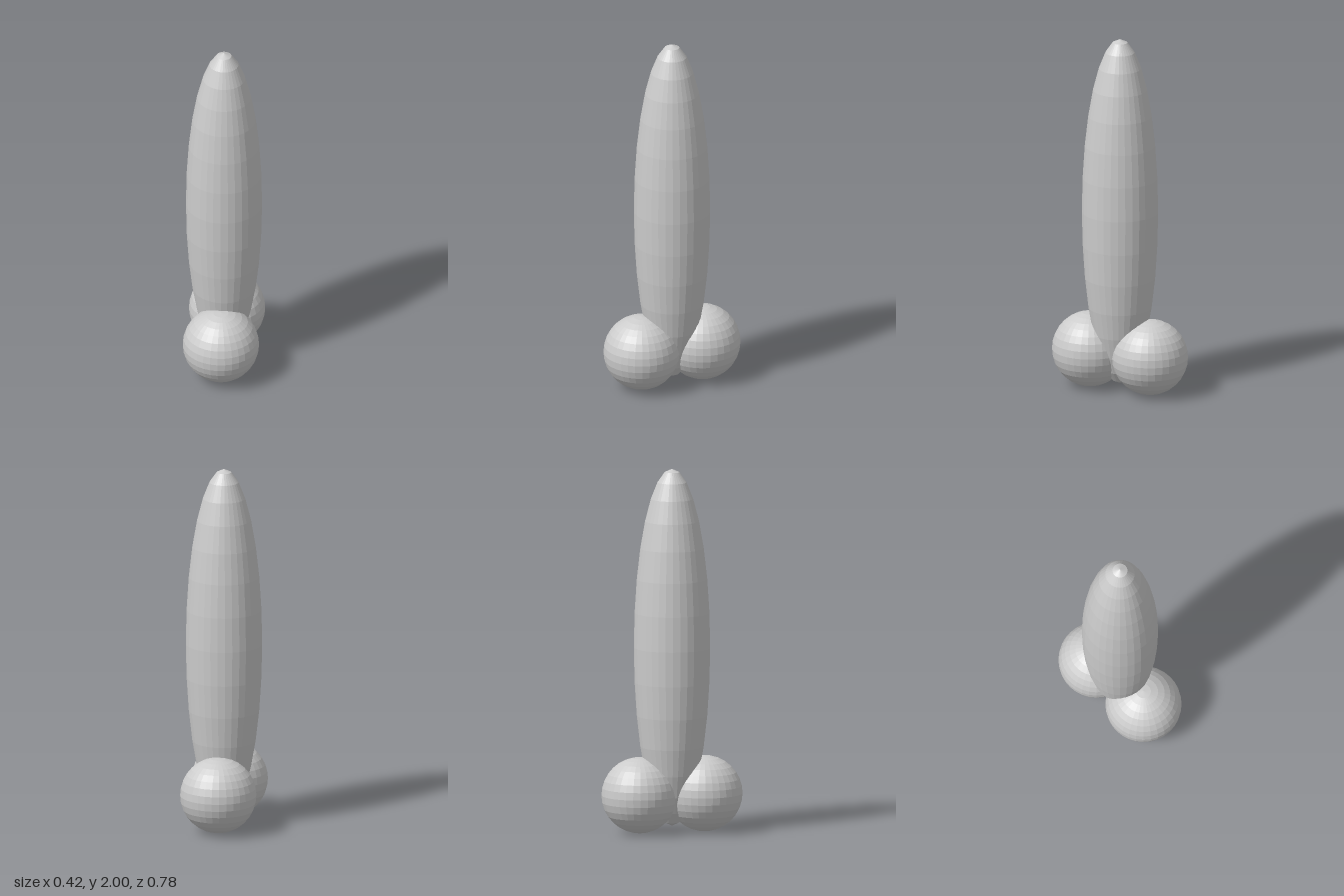
import * as THREE from 'three';

export function createModel() {
  const group = new THREE.Group();
  const material = new THREE.MeshStandardMaterial({ color: 0xcccccc, flatShading: true });
  const radius = 0.208;
  const ball = new THREE.SphereGeometry(radius, 32, 16);

  function addPart(name, y, z, stretch = 1) {
    const mesh = new THREE.Mesh(ball, material);
    mesh.name = name;
    mesh.position.set(0, y, z);
    mesh.scale.y = stretch;
    group.add(mesh);
  }

  // Tall ellipsoid, tip at y = 2
  const halfHeight = 0.983;
  addPart('shaft', 2 - halfHeight, 0, halfHeight / radius);

  // Round ball at the front and back of the base
  addPart('frontBall', radius, 0.181);
  addPart('backBall', radius, -0.181);

  return group;
}
